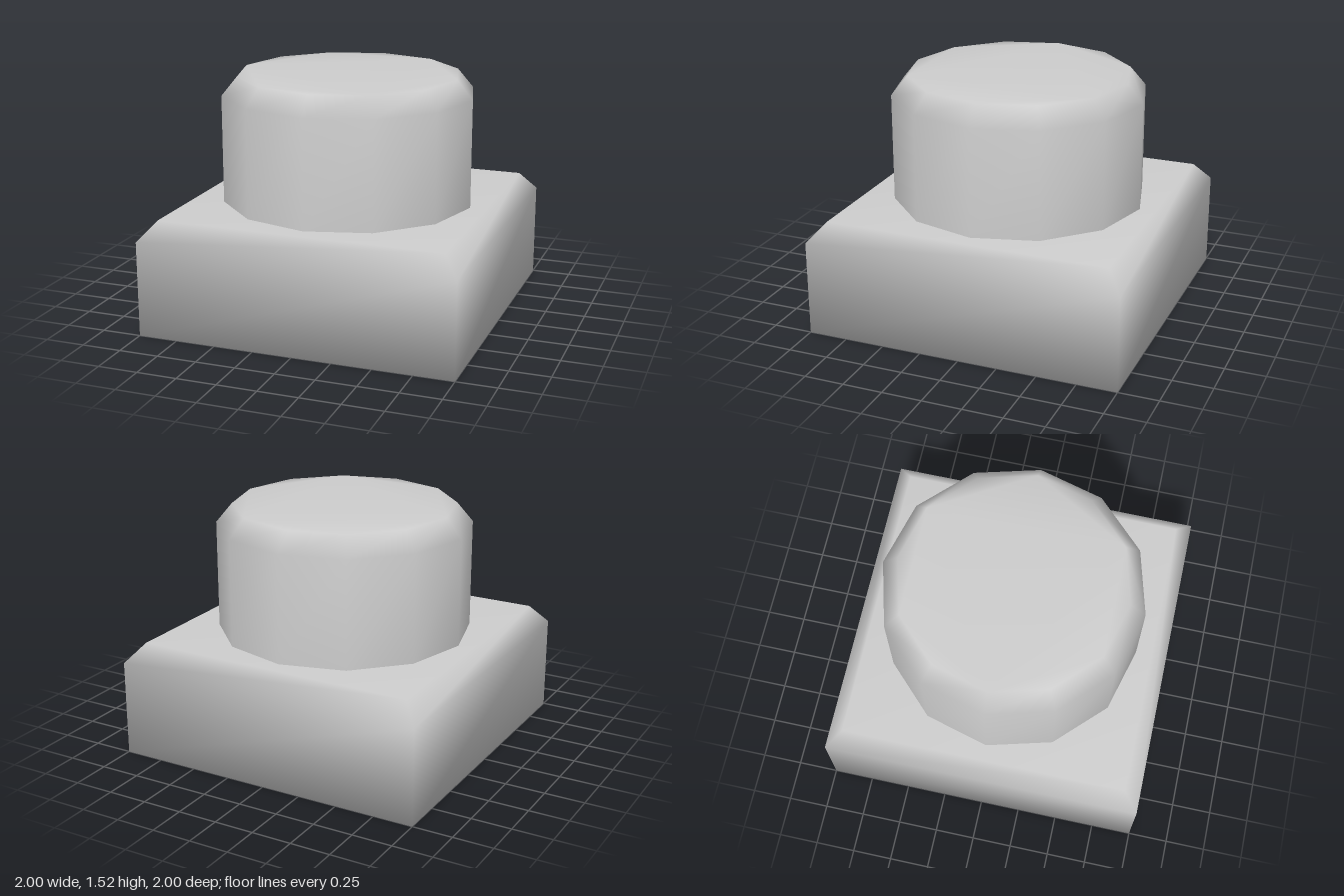
import * as THREE from 'three';

// Smooth-shaded solid lofted through rings [radius, y], all with the same number of sides
function loft(rings, sides, turn, closeBottom) {
  const positions = [], index = [];
  const point = (r, i) => {
    const a = turn + (i / sides) * Math.PI * 2;
    return [r * Math.cos(a), r * Math.sin(a)];
  };
  for (const [r, y] of rings) {
    for (let i = 0; i < sides; i++) {
      const [x, z] = point(r, i);
      positions.push(x, y, z);
    }
  }
  // Side walls
  for (let k = 0; k < rings.length - 1; k++) {
    for (let i = 0; i < sides; i++) {
      const j = (i + 1) % sides;
      const a = k * sides + i, b = k * sides + j;
      index.push(a, a + sides, b, b, a + sides, b + sides);
    }
  }
  // Flat caps sharing the rim vertices
  const outline = Array.from({ length: sides }, (_, i) => new THREE.Vector2(...point(1, i)));
  const top = (rings.length - 1) * sides;
  for (const [a, b, c] of THREE.ShapeUtils.triangulateShape(outline, [])) {
    index.push(top + a, top + c, top + b);
    if (closeBottom) index.push(a, b, c);
  }
  const geometry = new THREE.BufferGeometry();
  geometry.setAttribute('position', new THREE.Float32BufferAttribute(positions, 3));
  geometry.setIndex(index);
  geometry.computeVertexNormals();
  return geometry;
}

export function createModel() {
  const group = new THREE.Group();
  const grey = new THREE.MeshStandardMaterial({ color: 0xcccccc });
  grey.name = 'light grey';

  const add = (name, geometry) => {
    const mesh = new THREE.Mesh(geometry, grey);
    mesh.name = name;
    group.add(mesh);
  };

  // Square base with a bevelled top edge
  const d = Math.SQRT2;
  add('base', loft([[d, 0], [d, 0.6], [0.9 * d, 0.72]], 4, Math.PI / 4, true));

  // Twelve-sided stud with a bevelled rim, open where it meets the base
  add('stud', loft([[0.8, 0.72], [0.8, 1.4], [0.7, 1.52]], 12, 0, false));

  return group;
}
